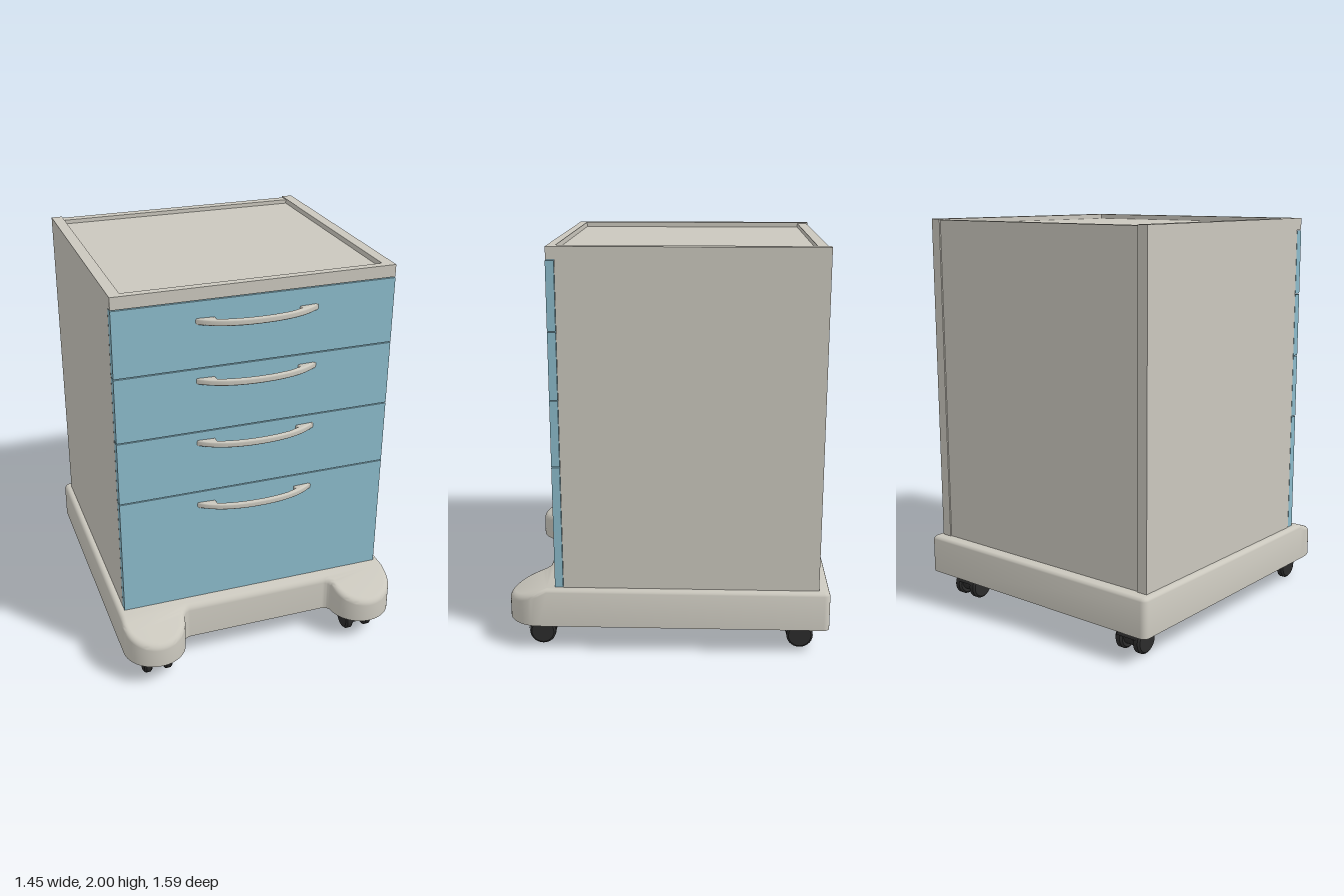
import * as THREE from 'three';
import { toCreasedNormals } from 'three/addons/utils/BufferGeometryUtils.js';

const beige = new THREE.MeshStandardMaterial({ color: 0xcac7bd });
beige.name = 'warm grey';
const blue = new THREE.MeshStandardMaterial({ color: 0x8bbaca });
blue.name = 'drawer blue';
const black = new THREE.MeshStandardMaterial({ color: 0x2b2b2b });
black.name = 'caster black';
const blackShell = new THREE.MeshStandardMaterial({ color: 0x2b2b2b, side: THREE.DoubleSide });
blackShell.name = 'caster black shell';

function add(parent, name, geometry, material) {
  const mesh = new THREE.Mesh(geometry, material);
  mesh.name = name;
  parent.add(mesh);
  return mesh;
}

// Box given by its minimum and maximum on each axis
function addBox(parent, name, [x0, x1], [y0, y1], [z0, z1], material) {
  const mesh = add(parent, name, new THREE.BoxGeometry(x1 - x0, y1 - y0, z1 - z0), material);
  mesh.position.set((x0 + x1) / 2, (y0 + y1) / 2, (z0 + z1) / 2);
  return mesh;
}

// Plinth: outline with two rounded front feet, inset by d
const BEVEL = 0.025, NOTCH = 0.62, SLOPE_START = NOTCH - BEVEL;

function plinthOutline(d) {
  const half = [];
  const arc = (cx, cz, r, from, to, n) => {
    for (let i = 0; i <= n; i++) {
      const a = from + (to - from) * i / n;
      half.push(new THREE.Vector2(cx + r * Math.cos(a), cz + r * Math.sin(a)));
    }
  };
  const foot = { x: 0.565, z: 0.637, r: 0.16 }, fillet = 0.04;
  const dz = NOTCH + fillet - foot.z;
  const dx = Math.sqrt((foot.r + fillet) ** 2 - dz * dz);
  const tilt = Math.atan2(dz, dx);
  arc(0.695, -0.767, 0.03 - d, -Math.PI / 2, 0, 5);
  half.push(new THREE.Vector2(0.725 - d, SLOPE_START));
  arc(foot.x, foot.z, foot.r - d, 0, Math.PI - tilt, 28);
  arc(foot.x - dx, NOTCH + fillet, fillet + d, -tilt, -Math.PI / 2, 8);
  const mirrored = half.map(p => new THREE.Vector2(-p.x, p.y)).reverse();
  return [...half, ...mirrored];
}

function plinthGeometry(bottom, top) {
  const drop = z => 0.37 * Math.max(0, z - SLOPE_START);
  const rings = [plinthOutline(0).map(p => [p.x, bottom, p.y])];
  const steps = 5;
  for (let i = 0; i <= steps; i++) {
    const a = i / steps * Math.PI / 2;
    const inset = BEVEL * (1 - Math.cos(a)), sink = BEVEL * (1 - Math.sin(a));
    rings.push(plinthOutline(inset).map(p => [p.x, top - sink - drop(p.y), p.y]));
  }
  const pos = [];
  const tri = (a, b, c) => pos.push(...a, ...b, ...c);
  const n = rings[0].length;
  for (let r = 0; r + 1 < rings.length; r++) {
    for (let j = 0; j < n; j++) {
      const k = (j + 1) % n, lo = rings[r], hi = rings[r + 1];
      tri(lo[j], hi[j], lo[k]);
      tri(lo[k], hi[j], hi[k]);
    }
  }
  const cap = (pts, up) => {
    const flat = pts.map(p => new THREE.Vector2(p[0], p[2]));
    for (const [a, b, c] of THREE.ShapeUtils.triangulateShape(flat, [])) {
      const area = (flat[b].x - flat[a].x) * (flat[c].y - flat[a].y)
        - (flat[b].y - flat[a].y) * (flat[c].x - flat[a].x);
      if ((area > 0) === up) tri(pts[a], pts[c], pts[b]);
      else tri(pts[a], pts[b], pts[c]);
    }
  };
  // Underside, level top, then the two sloping feet
  const last = rings[rings.length - 1];
  cap(rings[0], false);
  cap(last.filter(p => p[2] <= SLOPE_START + 1e-6), true);
  cap(last.filter(p => p[0] > 0 && p[2] >= SLOPE_START - 1e-6), true);
  cap(last.filter(p => p[0] < 0 && p[2] >= SLOPE_START - 1e-6), true);
  const g = new THREE.BufferGeometry();
  g.setAttribute('position', new THREE.Float32BufferAttribute(pos, 3));
  g.computeVertexNormals();
  return toCreasedNormals(g, 0.6);
}

// Bowed pull handle with widened ends, lying in the x-z plane
function handleGeometry() {
  const s = new THREE.Shape();
  s.moveTo(-0.302, 0);
  s.bezierCurveTo(-0.23, 0.065, -0.12, 0.087, 0, 0.087);
  s.bezierCurveTo(0.12, 0.087, 0.23, 0.065, 0.302, 0);
  s.lineTo(0.207, 0);
  s.lineTo(0.205, 0.033);
  s.bezierCurveTo(0.13, 0.054, 0.06, 0.06, 0, 0.06);
  s.bezierCurveTo(-0.06, 0.06, -0.13, 0.054, -0.205, 0.033);
  s.lineTo(-0.207, 0);
  s.closePath();
  const g = new THREE.ExtrudeGeometry(s, {
    depth: 0.01, bevelEnabled: true, bevelThickness: 0.011, bevelSize: 0.011,
    bevelOffset: -0.011, bevelSegments: 4, curveSegments: 14,
  });
  g.translate(0, 0, -0.005);
  g.rotateX(Math.PI / 2);
  return toCreasedNormals(g, 0.7);
}

// Twin-wheel caster
function makeCaster() {
  const caster = new THREE.Group();
  caster.name = 'caster';
  const R = 0.066;
  const profile = [[0, -0.021], [R - 0.01, -0.021], [R, -0.012], [R, 0.012], [R - 0.01, 0.021], [0, 0.021]]
    .map(p => new THREE.Vector2(...p));
  const wheel = toCreasedNormals(new THREE.LatheGeometry(profile, 28).rotateZ(Math.PI / 2), 0.5);
  for (const side of [-1, 1]) {
    add(caster, 'wheel', wheel, black).position.set(side * 0.053, R, 0);
  }
  const hub = add(caster, 'hub', new THREE.CylinderGeometry(0.048, 0.048, 0.07, 20), black);
  hub.rotation.z = Math.PI / 2;
  hub.position.y = 0.075;
  const hood = new THREE.CylinderGeometry(0.071, 0.071, 0.115, 20, 1, true, 0, Math.PI * 0.9);
  const hoodMesh = add(caster, 'hood', hood.rotateZ(Math.PI / 2), blackShell);
  hoodMesh.position.y = 0.067;
  // Turn the shell so it covers the top of the wheels
  hood.computeBoundingBox();
  const c = hood.boundingBox.getCenter(new THREE.Vector3());
  hoodMesh.rotation.x = Math.atan2(c.z, c.y) * -1;
  add(caster, 'stem', new THREE.CylinderGeometry(0.019, 0.019, 0.075, 16), black).position.set(0, 0.108, -0.032);
  return caster;
}

export function createModel() {
  const model = new THREE.Group();
  model.name = 'drawerCabinet';
  const floor = 0.335;

  add(model, 'plinth', plinthGeometry(0.14, floor), beige);

  // Carcass
  for (const s of [-1, 1]) {
    const x = s > 0 ? [0.635, 0.69] : [-0.69, -0.635];
    addBox(model, 'sidePanel', x, [floor - 0.005, 2], [-0.742, 0.512], beige);
  }
  addBox(model, 'backPanel', [-0.635, 0.635], [floor - 0.005, 1.995], [-0.735, -0.685], beige);
  addBox(model, 'innerBody', [-0.635, 0.635], [floor - 0.005, 1.975], [-0.685, 0.512], beige);
  addBox(model, 'frontRail', [-0.69, 0.69], [1.94, 2], [0.512, 0.552], beige);

  // Drawer fronts with handles: bottom, top, handle height
  const handle = handleGeometry();
  const drawers = [[0.337, 0.951, 0.878], [0.956, 1.279, 1.222], [1.284, 1.606, 1.545], [1.611, 1.936, 1.84]];
  for (const [y0, y1, yHandle] of drawers) {
    addBox(model, 'drawerFront', [-0.69, 0.69], [y0, y1], [0.514, 0.554], blue);
    add(model, 'handle', handle, beige).position.set(0, yHandle, 0.552);
  }

  // Casters
  for (const x of [-0.558, 0.558]) {
    for (const z of [0.632, -0.66]) {
      const caster = makeCaster();
      caster.position.set(x, 0, z);
      model.add(caster);
    }
  }
  return model;
}
